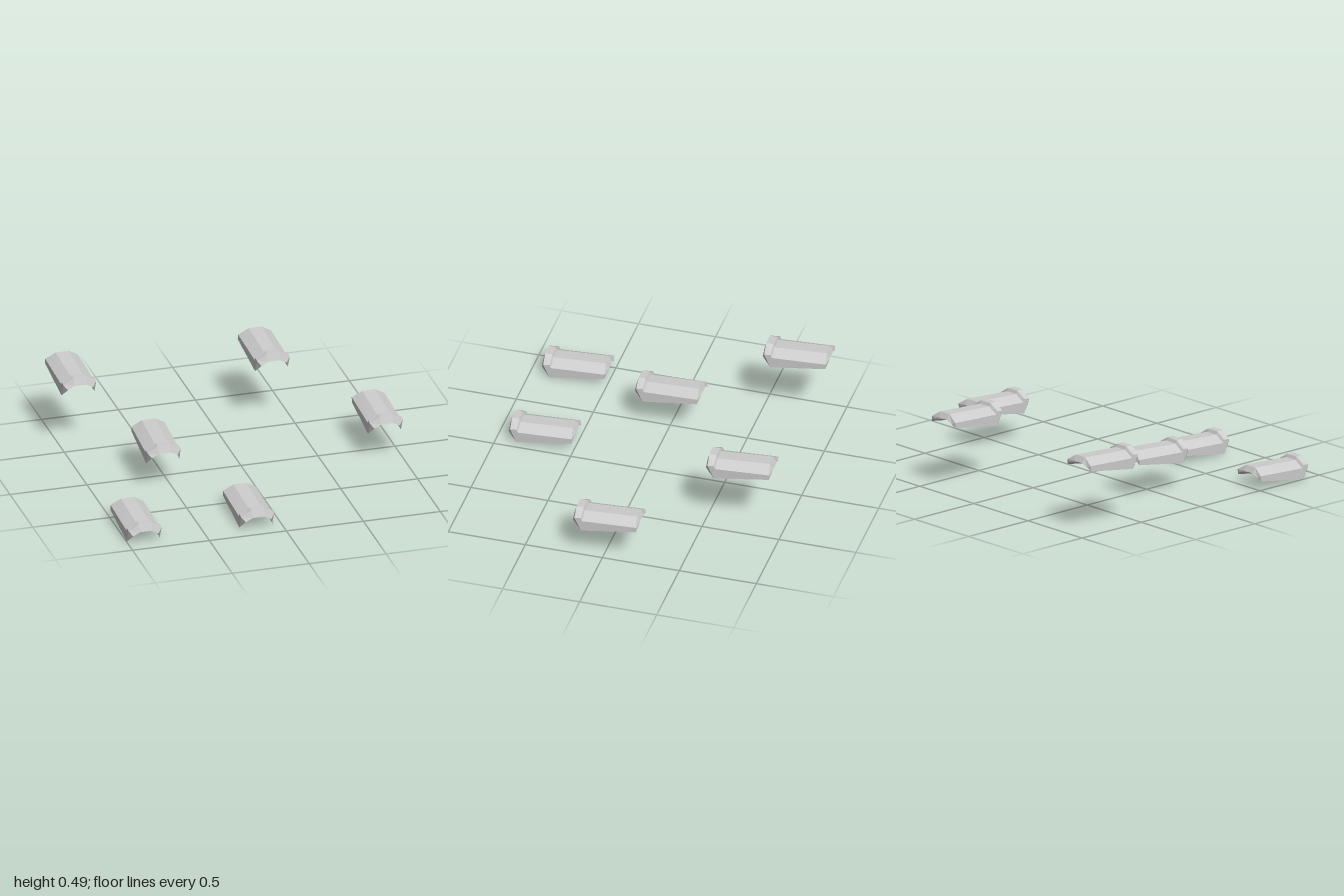
import * as THREE from 'three';

// Half cross-sections from front to back, each listed as [x, y, z]:
// rim bottom, outer shoulder, outer crown, inner crown, inner shoulder
const sections = [
  // front end of the raised lip
  [[0.107, 0.003, 0.153], [0.107, 0.092, 0.194], [0.042, 0.135, 0.2], [0.038, 0.085, 0.213], [0.082, 0.06, 0.21]],
  // back end of the raised lip
  [[0.107, 0.004, 0.149], [0.107, 0.096, 0.153], [0.042, 0.135, 0.154], [0.038, 0.087, 0.153], [0.082, 0.063, 0.153]],
  // start of the barrel
  [[0.107, 0.005, 0.143], [0.107, 0.076, 0.145], [0.042, 0.115, 0.145], [0.038, 0.087, 0.145], [0.082, 0.063, 0.145]],
  // back end of the barrel
  [[0.107, 0.06, -0.203], [0.107, 0.094, -0.205], [0.042, 0.135, -0.193], [0.038, 0.1, -0.213], [0.082, 0.08, -0.21]],
];

// Full closed loop from a half section: left rim, over the top, right rim, back underneath
function loop(half) {
  const right = half.map(([x, y, z]) => [x, y, z]);
  const left = half.map(([x, y, z]) => [-x, y, z]);
  return [left[0], left[1], left[2], right[2], right[1], right[0], right[4], right[3], left[3], left[4]];
}

function tileGeometry() {
  const positions = [];
  const face = (...p) => {
    for (let i = 1; i < p.length - 1; i++) positions.push(...p[0], ...p[i], ...p[i + 1]);
  };
  const loops = sections.map(loop);

  // Skin between neighbouring sections
  for (let s = 0; s < loops.length - 1; s++) {
    const a = loops[s], b = loops[s + 1];
    for (let i = 0; i < a.length; i++) {
      const j = (i + 1) % a.length;
      face(a[i], a[j], b[j], b[i]);
    }
  }

  // Arch-shaped ends
  const caps = [[0, 9, 1], [1, 9, 8, 2], [2, 8, 7, 3], [3, 7, 6, 4], [4, 6, 5]];
  const first = loops[0], last = loops[loops.length - 1];
  for (const cap of caps) {
    face(...cap.map((i) => first[i]));
    face(...[...cap].reverse().map((i) => last[i]));
  }

  const geometry = new THREE.BufferGeometry();
  geometry.setAttribute('position', new THREE.Float32BufferAttribute(positions, 3));
  geometry.computeVertexNormals();
  return geometry;
}

export function createModel() {
  const group = new THREE.Group();
  group.name = 'roofTiles';
  const geometry = tileGeometry();
  const material = new THREE.MeshStandardMaterial({ color: 0xcccccc, flatShading: true });

  // Scattered rows rising to the back: name, x, y, z, yaw, roll
  const tiles = [
    ['frontRightTile', -0.891, 0, 0.715, 0, 0],
    ['frontCentreTile', -0.16, 0, 0.715, 0, 0],
    ['middleRightTile', -0.55, 0.177, 0.01, -0.035, 0.03],
    ['middleLeftTile', 0.891, 0.177, -0.012, 0, 0],
    ['backRightTile', -0.891, 0.36, -0.72, 0, 0],
    ['backLeftTile', 0.364, 0.36, -0.72, 0.012, 0],
  ];
  for (const [name, x, y, z, yaw, roll] of tiles) {
    const tile = new THREE.Mesh(geometry, material);
    tile.name = name;
    tile.position.set(x, y, z);
    tile.rotation.set(0, yaw, roll);
    group.add(tile);
  }
  return group;
}
